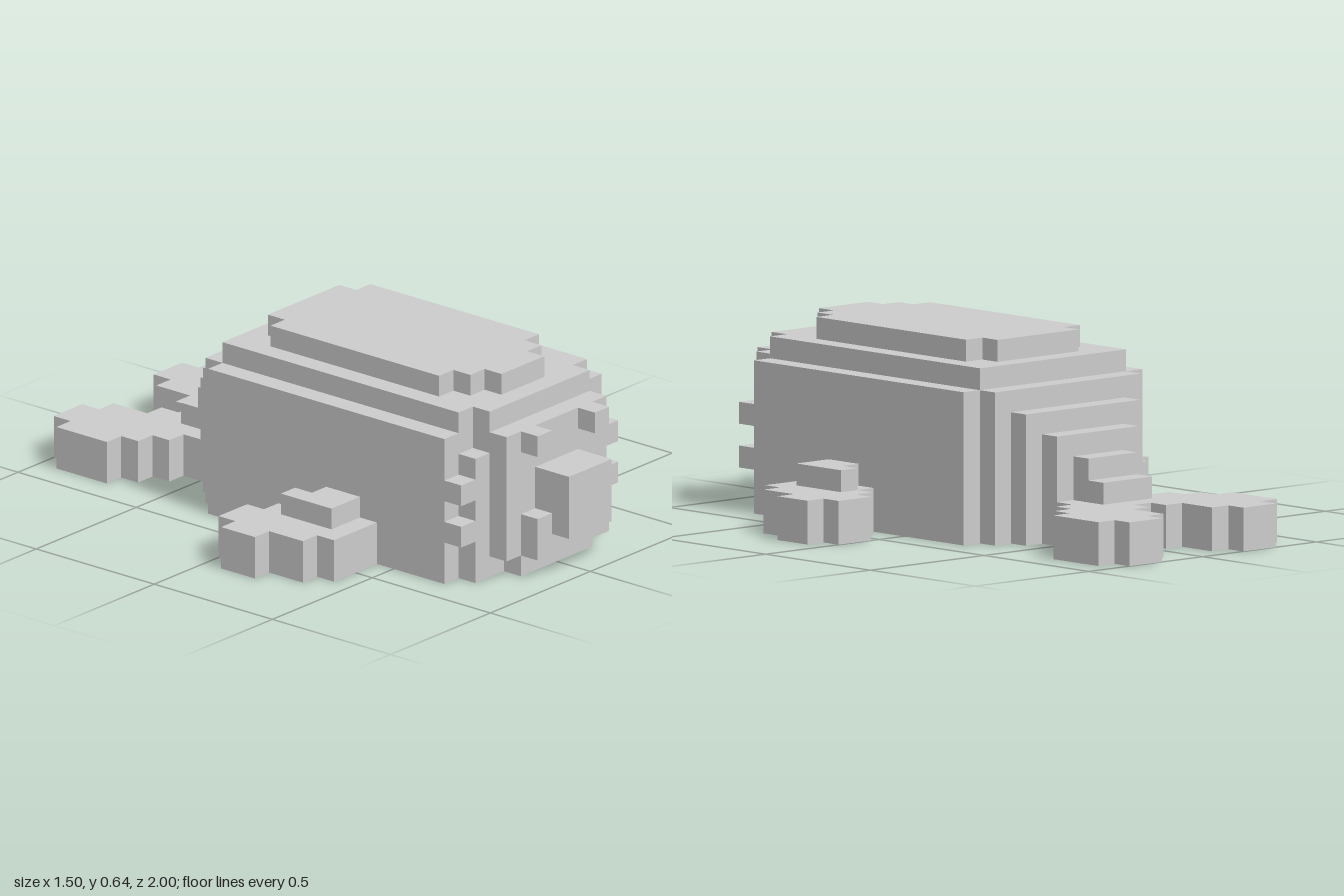
import * as THREE from 'three';

const U = 2 / 28; // one block
const material = new THREE.MeshStandardMaterial({ color: 0xcccccc, flatShading: true });

// Box given by its extents in blocks
function block(parent, name, x0, x1, y0, y1, z0, z1) {
  const geo = new THREE.BoxGeometry((x1 - x0) * U, (y1 - y0) * U, (z1 - z0) * U);
  const mesh = new THREE.Mesh(geo, material);
  mesh.position.set((x0 + x1) * U / 2, (y0 + y1) * U / 2, (z0 + z1) * U / 2);
  mesh.name = name;
  parent.add(mesh);
}

// Centred box, w = half width
const slab = (parent, name, w, y0, y1, z0, z1) => block(parent, name, -w, w, y0, y1, z0, z1);

// The same box on both sides
function pair(parent, name, x0, x1, y0, y1, z0, z1) {
  block(parent, name + 'Left', x0, x1, y0, y1, z0, z1);
  block(parent, name + 'Right', -x1, -x0, y0, y1, z0, z1);
}

// Flat plate from an x/z outline, y0 to y1
function plate(parent, name, points, y0, y1) {
  const shape = new THREE.Shape(points.map(([x, z]) => new THREE.Vector2(x * U, z * U)));
  const geo = new THREE.ExtrudeGeometry(shape, { depth: (y1 - y0) * U, bevelEnabled: false });
  geo.rotateX(Math.PI / 2).translate(0, y1 * U, 0);
  const mesh = new THREE.Mesh(geo, material);
  mesh.name = name;
  parent.add(mesh);
}

// Stepped outline from rows [z0, z1, inner x, outer x]
function stepped(rows) {
  const outer = rows.flatMap(([z0, z1, , x]) => [[x, z0], [x, z1]]);
  const inner = rows.flatMap(([z0, z1, x]) => [[x, z0], [x, z1]]).reverse();
  return [...outer, ...inner].filter((p, i, a) => {
    const q = a[(i + 1) % a.length];
    return p[0] !== q[0] || p[1] !== q[1];
  });
}

const mirrored = (points) => points.map(([x, z]) => [-x, z]);

export function createModel() {
  const model = new THREE.Group();
  model.name = 'blockWhale';

  // Body and stepped back
  const body = new THREE.Group();
  body.name = 'body';
  model.add(body);
  slab(body, 'trunk', 5.5, 0, 7, -4, 10);
  slab(body, 'upperBack', 4.5, 7, 8, -4, 10);
  plate(body, 'backRidge', [
    [-2.5, -3], [2.5, -3], [2.5, -2], [3.5, -2], [3.5, 8], [2.5, 8], [2.5, 9], [1.5, 9], [1.5, 10],
    [-1.5, 10], [-1.5, 9], [-2.5, 9], [-2.5, 8], [-3.5, 8], [-3.5, -2], [-2.5, -2],
  ], 8, 9);

  // Rear taper: half width, height, z range
  [[4.5, 7, -5, -4], [3.5, 6, -6, -5], [2.5, 5, -7, -6]]
    .forEach(([w, h, z0, z1]) => slab(body, 'rearStep', w, 0, h, z0, z1));
  slab(body, 'tailRootUpper', 1.5, 2, 4, -8, -7);
  slab(body, 'tailRootLower', 1.5, 2, 3, -9, -8);

  // Head
  const head = new THREE.Group();
  head.name = 'head';
  model.add(head);
  slab(head, 'brow', 3.5, 0, 8, 10, 11);
  pair(head, 'cheek', 3.5, 4.5, 0, 6, 10, 11);
  pair(head, 'upperKnob', 4.5, 5.5, 4, 5, 10, 11);
  pair(head, 'lowerKnob', 4.5, 5.5, 2, 3, 10, 11);
  slab(head, 'face', 3.5, 1, 7, 11, 12);
  slab(head, 'chin', 2.5, 0, 1, 11, 12);
  pair(head, 'browKnob', 1.5, 2.5, 6, 7, 12, 13);
  pair(head, 'mouthCorner', 1.5, 2.5, 2, 3, 12, 13);
  slab(head, 'lowerLip', 2.5, 1, 2, 12, 13);
  slab(head, 'snout', 1.5, 2, 5, 12, 14);

  // Tail flukes
  const fluke = stepped([
    [-14, -13, 2.5, 4.5], [-13, -11, 1.5, 5.5], [-11, -10, 0.5, 5.5],
    [-10, -9, 0, 4.5], [-9, -8, 0, 3.5], [-8, -7, 0, 2.5],
  ]);
  plate(model, 'tailFlukeLeft', fluke, 0, 2);
  plate(model, 'tailFlukeRight', mirrored(fluke), 0, 2);

  // Flippers with a raised shoulder
  const flipper = stepped([
    [0, 1, 7.5, 9.5], [1, 2, 6.5, 10.5], [2, 3, 5.5, 10.5], [3, 5, 5.5, 9.5], [5, 6, 5.5, 8.5],
  ]);
  const shoulder = stepped([[2, 3, 6.5, 7.5], [3, 5, 5.5, 7.5]]);
  plate(model, 'flipperLeft', flipper, 0, 2);
  plate(model, 'flipperRight', mirrored(flipper), 0, 2);
  plate(model, 'shoulderLeft', shoulder, 2, 3);
  plate(model, 'shoulderRight', mirrored(shoulder), 2, 3);

  return model;
}
